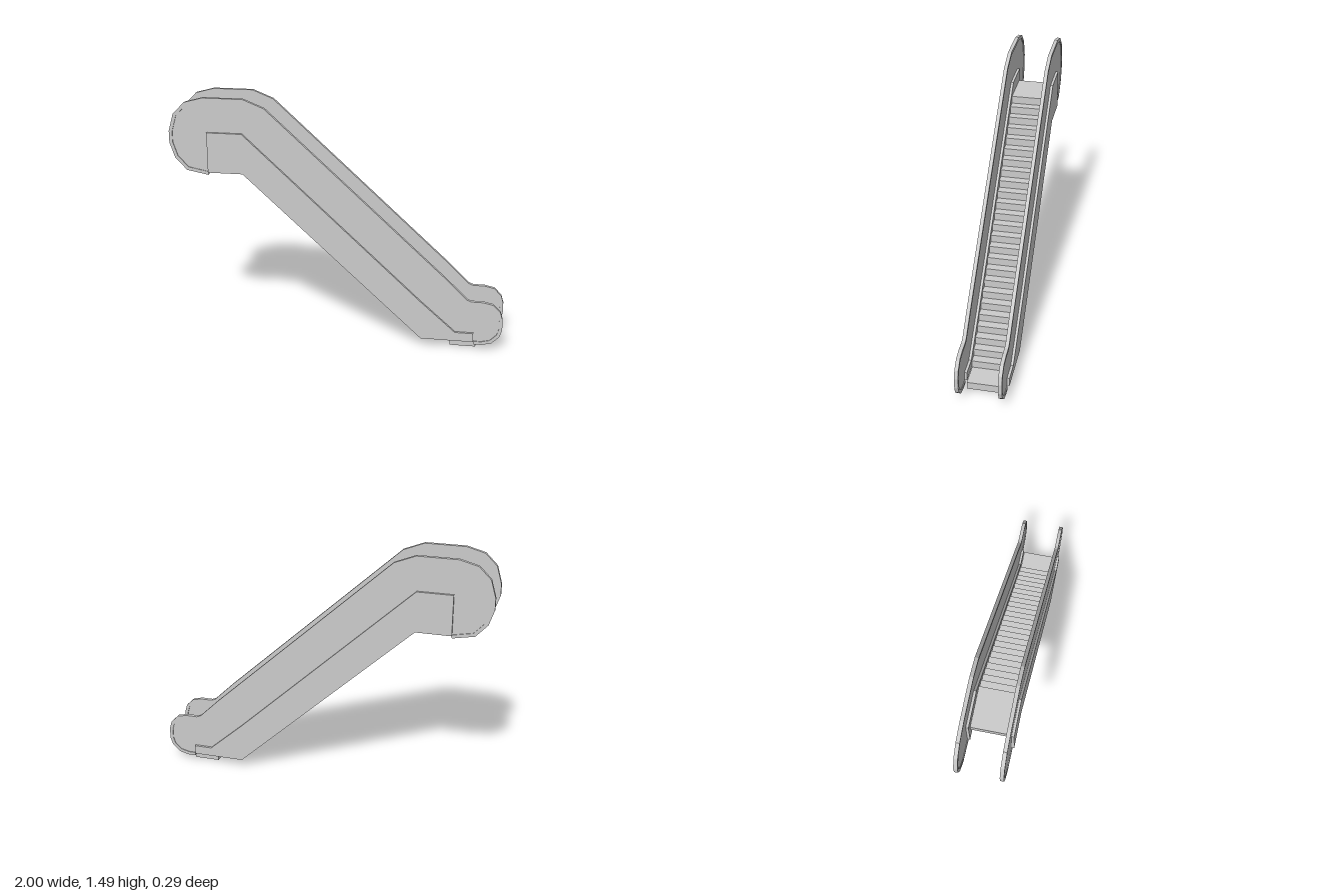
import * as THREE from 'three';

const material = new THREE.MeshStandardMaterial({ color: 0xcccccc, flatShading: true });

// Outer line of the handrail, from the upper end round to the lower end
const RAIL = [
  [-0.77, 1.02], [-0.9, 1.045], [-0.97, 1.12], [-1, 1.21], [-1, 1.28], [-0.97, 1.385],
  [-0.9, 1.455], [-0.79, 1.485], [-0.55, 1.485], [-0.425, 1.435], [0.66, 0.44],
  [0.785, 0.318], [0.81, 0.308], [0.88, 0.308], [0.94, 0.295], [0.985, 0.25],
  [1, 0.2], [1, 0.135], [0.985, 0.09], [0.94, 0.045], [0.88, 0.03], [0.835, 0.03],
];

const SKIRT = [
  [-0.77, 1.28], [-0.56, 1.28], [0.51, 0.29], [0.72, 0.105], [0.83, 0.105],
  [0.83, 0.05], [0.515, 0.05], [-0.56, 1.037], [-0.77, 1.037],
];

// Moves an open line to its right-hand side by distance d, with mitred corners
function inset(points, d) {
  const p = points.map(([x, y]) => new THREE.Vector2(x, y));
  const normal = (a, b) => new THREE.Vector2(b.y - a.y, a.x - b.x).normalize();
  return p.map((q, i) => {
    const n1 = normal(p[Math.max(i - 1, 0)], p[Math.max(i, 1)]);
    const n2 = i < p.length - 1 ? normal(q, p[i + 1]) : n1;
    const m = n1.clone().add(n2).normalize();
    const r = q.clone().addScaledVector(m, d / m.dot(n2));
    return [r.x, r.y];
  });
}

// Flat plate with the given outline, lying between z0 and z1
function plate(name, points, z0, z1) {
  const shape = new THREE.Shape(points.map(([x, y]) => new THREE.Vector2(x, y)));
  const geometry = new THREE.ExtrudeGeometry(shape, { depth: z1 - z0, bevelEnabled: false });
  geometry.translate(0, 0, z0);
  const mesh = new THREE.Mesh(geometry, material);
  mesh.name = name;
  return mesh;
}

// Step block between two x and two y values
function block(name, x0, x1, y0, y1) {
  const mesh = new THREE.Mesh(new THREE.BoxGeometry(x1 - x0, y1 - y0, 0.204), material);
  mesh.position.set((x0 + x1) / 2, (y0 + y1) / 2, 0);
  mesh.name = name;
  return mesh;
}

function createSide(name, z) {
  const side = new THREE.Group();
  side.name = name;
  const inner = inset(RAIL, 0.02);
  // Handrail band round the edge of the panel
  side.add(plate('handrail', [...RAIL, ...inner.slice().reverse()], z - 0.011, z + 0.011));
  // Thin balustrade panel, its lower edge hidden in the skirt
  const panel = [...inner, [0.82, 0.06], [0.52, 0.06], [-0.556, 1.047], [-0.76, 1.047]];
  side.add(plate('balustradePanel', panel, z - 0.006, z + 0.006));
  // Solid skirt along the steps
  side.add(plate('skirt', SKIRT, z - 0.021, z + 0.021));
  return side;
}

export function createModel() {
  const model = new THREE.Group();
  model.name = 'escalator';

  model.add(createSide('leftSide', 0.124), createSide('rightSide', -0.124));

  // Landings and moving steps
  const steps = new THREE.Group();
  steps.name = 'steps';
  const count = 24, rise = 0.0465, run = 0.0508;
  steps.add(block('lowerLanding', 0.69, 0.845, 0, rise));
  for (let i = 0; i < count; i++) {
    const x = 0.71 - i * run, y = (i + 1) * rise;
    steps.add(block('step', x - run - 0.02, x, y, y + rise));
  }
  steps.add(block('upperLanding', -0.745, 0.71 - count * run, 25 * rise, 26 * rise));
  model.add(steps);

  return model;
}
